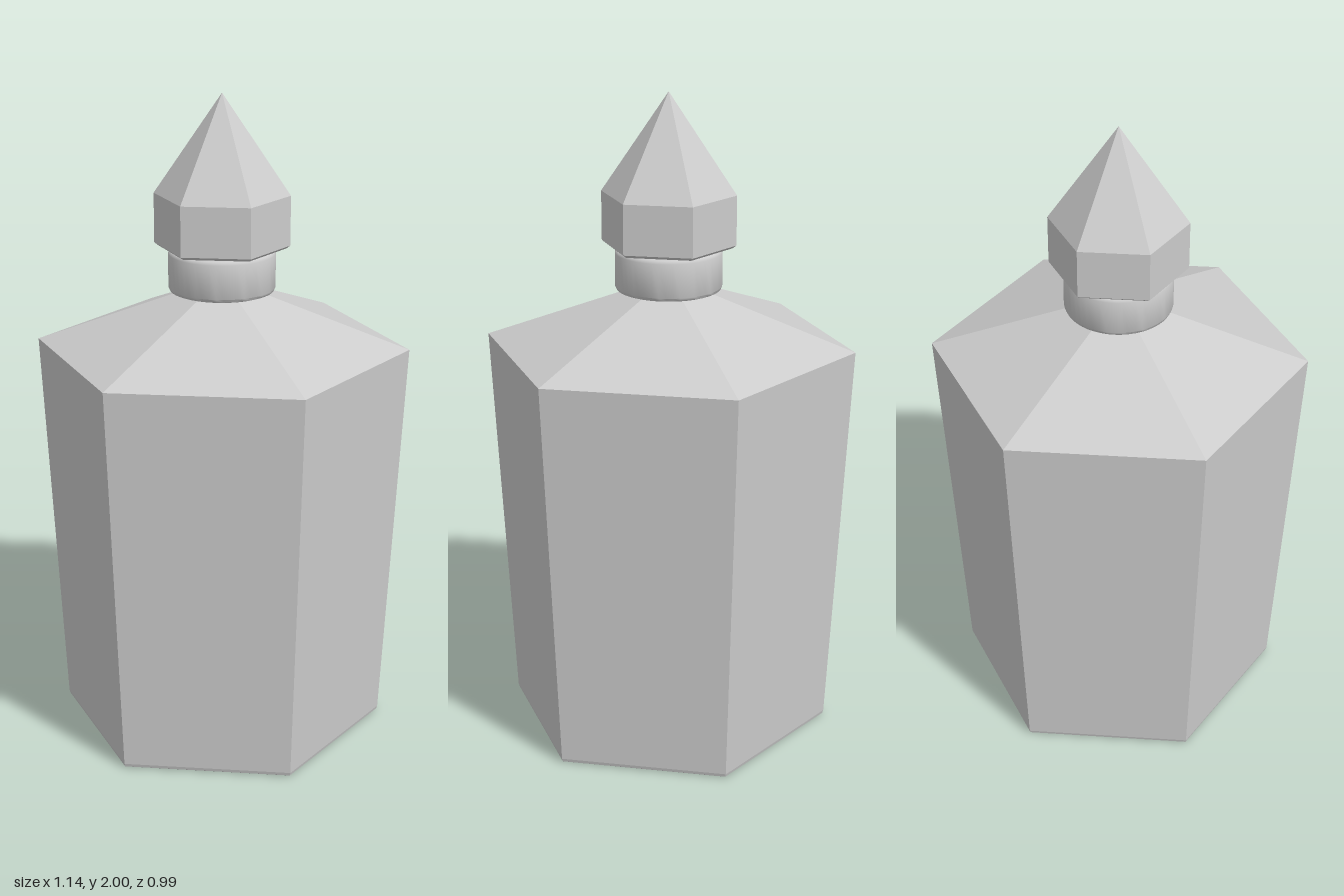
import * as THREE from 'three';
import { toCreasedNormals } from 'three/addons/utils/BufferGeometryUtils.js';

const grey = new THREE.MeshStandardMaterial({ color: 0xcccccc });
grey.name = 'pale grey';

// Revolves a [radius, height] profile, listed bottom to top, with a corner on +x
function turned(name, sides, profile, crease) {
  const points = profile.map(([r, y]) => new THREE.Vector2(r, y));
  const lathe = new THREE.LatheGeometry(points, sides, Math.PI / 2);
  const mesh = new THREE.Mesh(toCreasedNormals(lathe, crease), grey);
  mesh.name = name;
  return mesh;
}

export function createModel() {
  const group = new THREE.Group();
  group.name = 'perfumeBottle';

  // Six-sided tapering body with a softened base and sloping shoulders
  group.add(turned('body', 6, [
    [0, 0], [0.5, 0], [0.507, 0.004], [0.51, 0.014],
    [0.57, 1.235], [0.11, 1.405], [0, 1.405],
  ], 0.2));

  // Thin core joining the body, collar and stopper
  group.add(turned('neckCore', 32, [[0, 1.39], [0.1, 1.39], [0.1, 1.56], [0, 1.56]], 0.6));

  // Round collar with rounded rims
  group.add(turned('collar', 48, [
    [0, 1.408], [0.15, 1.408], [0.158, 1.411], [0.162, 1.42],
    [0.162, 1.523], [0.158, 1.532], [0.15, 1.535], [0, 1.535],
  ], 0.9));

  // Six-sided stopper with a pointed crown
  group.add(turned('stopper', 6, [
    [0, 1.54], [0.193, 1.54], [0.205, 1.549], [0.205, 1.7], [0, 2],
  ], 0.2));

  return group;
}
